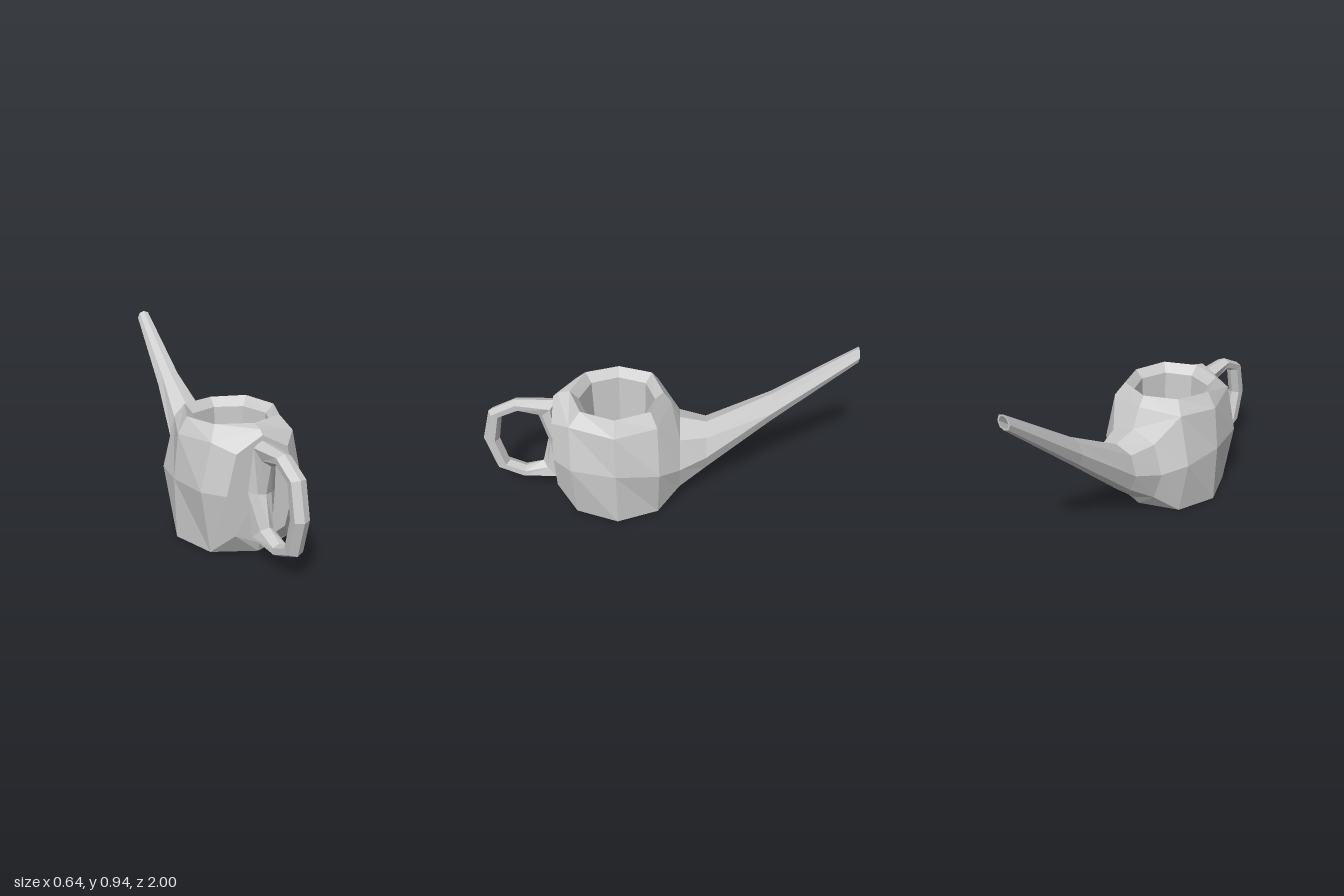
import * as THREE from 'three';

const material = new THREE.MeshStandardMaterial({ color: 0xcccccc, flatShading: true });

// Complete a half cross-section (first and last point on x = 0) by mirroring it
const mirror = (half) => [
  ...half,
  ...half.slice(1, -1).reverse().map(([x, y, z]) => [-x, y, z]),
];

// Ring collapsed to its centre, used as the last ring of a loft to close it
function centre(ring) {
  const c = [0, 1, 2].map((k) => ring.reduce((s, p) => s + p[k], 0) / ring.length);
  return ring.map(() => c);
}

// Skin a list of equally long rings; keep(i) selects which columns are made
function loft(name, rings, reversed = false, keep = () => true) {
  const pos = [];
  const tri = (a, b, c) => {
    if (b !== c && a !== c && a !== b) pos.push(...a, ...(reversed ? [...c, ...b] : [...b, ...c]));
  };
  for (let r = 0; r < rings.length - 1; r++) {
    const p = rings[r], q = rings[r + 1], n = p.length;
    for (let i = 0; i < n; i++) {
      if (!keep(i)) continue;
      const j = (i + 1) % n;
      tri(p[i], p[j], q[j]);
      tri(p[i], q[j], q[i]);
    }
  }
  const geometry = new THREE.BufferGeometry();
  geometry.setAttribute('position', new THREE.Float32BufferAttribute(pos, 3));
  geometry.computeVertexNormals();
  const mesh = new THREE.Mesh(geometry, material);
  mesh.name = name;
  return mesh;
}

// Vertical cross-section at one depth, listed from top to bottom
const section = (z, pts) => mirror(pts.map(([x, y]) => [x, y, z]));

export function createModel() {
  const model = new THREE.Group();

  // Body rings, each half listed from back to front
  const base = [[0, 0, -0.05], [0.225, 0, 0.03], [0.31, 0, 0.25], [0.225, 0, 0.48], [0, 0, 0.57]];
  const belly = [[0, 0.31, -0.07], [0.288, 0.31, 0.02], [0.322, 0.33, 0.25], [0.28, 0.34, 0.49], [0, 0.34, 0.58]];
  const shoulder = [[0, 0.6, -0.04], [0.225, 0.585, 0.03], [0.297, 0.57, 0.25], [0.225, 0.59, 0.49], [0, 0.65, 0.565]];
  const rim = [[0, 0.655, 0], [0.18, 0.66, 0.065], [0.248, 0.655, 0.25], [0.18, 0.66, 0.43], [0, 0.662, 0.5]];

  // Side walls: the front and back columns are left open for pad and spout
  model.add(loft('bodySides', [base, belly, shoulder].map(mirror), true,
    (i) => i === 1 || i === 2 || i === 5 || i === 6));

  // Rim and hollow inside
  const inner = (s, y) => mirror(rim.map(([x, , z]) => [x * s, y, 0.25 + (z - 0.25) * s]));
  const floor = inner(0.73, 0.06);
  model.add(loft('rimAndInside',
    [mirror(shoulder), mirror(rim), inner(0.82, 0.61), floor, centre(floor)], true));

  // Underside
  const bottom = mirror(base);
  model.add(loft('underside', [bottom, centre(bottom)]));

  // Edge of an open body column, from shoulder down to base
  const opening = (end, side) =>
    mirror([shoulder[end], shoulder[side], belly[side], base[side], base[end]]);

  // Flat pad that carries the handle
  const pad = mirror([[0, 0.628, 0.59], [0.14, 0.55, 0.59], [0.188, 0.34, 0.59], [0.14, 0.12, 0.59], [0, 0.05, 0.582]]);
  model.add(loft('handlePad', [opening(4, 3), pad, centre(pad)], true));

  // Spout growing out of the back of the body, with a hollow tip
  const tip = [[0, 0.94], [0.028, 0.93], [0.04, 0.9], [0.028, 0.87], [0, 0.86]];
  const lip = tip.map(([x, y]) => [x * 0.75, 0.9 + (y - 0.9) * 0.75]);
  const recess = section(-0.9, lip.map(([x, y]) => [x, y - 0.075]));
  model.add(loft('spout', [
    opening(0, 1),
    section(-0.09, [[0, 0.49], [0.14, 0.44], [0.19, 0.27], [0.14, 0.11], [0, 0.06]]),
    section(-0.235, [[0, 0.46], [0.1, 0.425], [0.13, 0.31], [0.09, 0.21], [0, 0.18]]),
    section(-0.58, [[0, 0.65], [0.05, 0.635], [0.075, 0.575], [0.05, 0.51], [0, 0.49]]),
    section(-1, tip),
    section(-1, lip),
    recess,
    centre(recess),
  ]));

  // Handle loop stations: outer z, y, inner z, y, outer half width
  const stations = [
    [0.8, 0.605, 0.78, 0.54, 0.04],
    [0.95, 0.53, 0.88, 0.5, 0.04],
    [1.0, 0.34, 0.91, 0.34, 0.04],
    [0.95, 0.15, 0.87, 0.18, 0.04],
    [0.8, 0.08, 0.78, 0.14, 0.04],
    [0.58, 0.08, 0.68, 0.18, 0.055],
    [0.575, 0.34, 0.64, 0.34, 0.075],
    [0.58, 0.6, 0.68, 0.5, 0.055],
  ].map(([oz, oy, iz, iy, w]) => {
    const at = (x, t) => [x, oy + (iy - oy) * t, oz + (iz - oz) * t];
    return mirror([at(0, 0), at(w, 0.25), at(0.038, 0.75), at(0, 1)]);
  });
  model.add(loft('handle', [...stations, stations[0]], true));

  return model;
}
